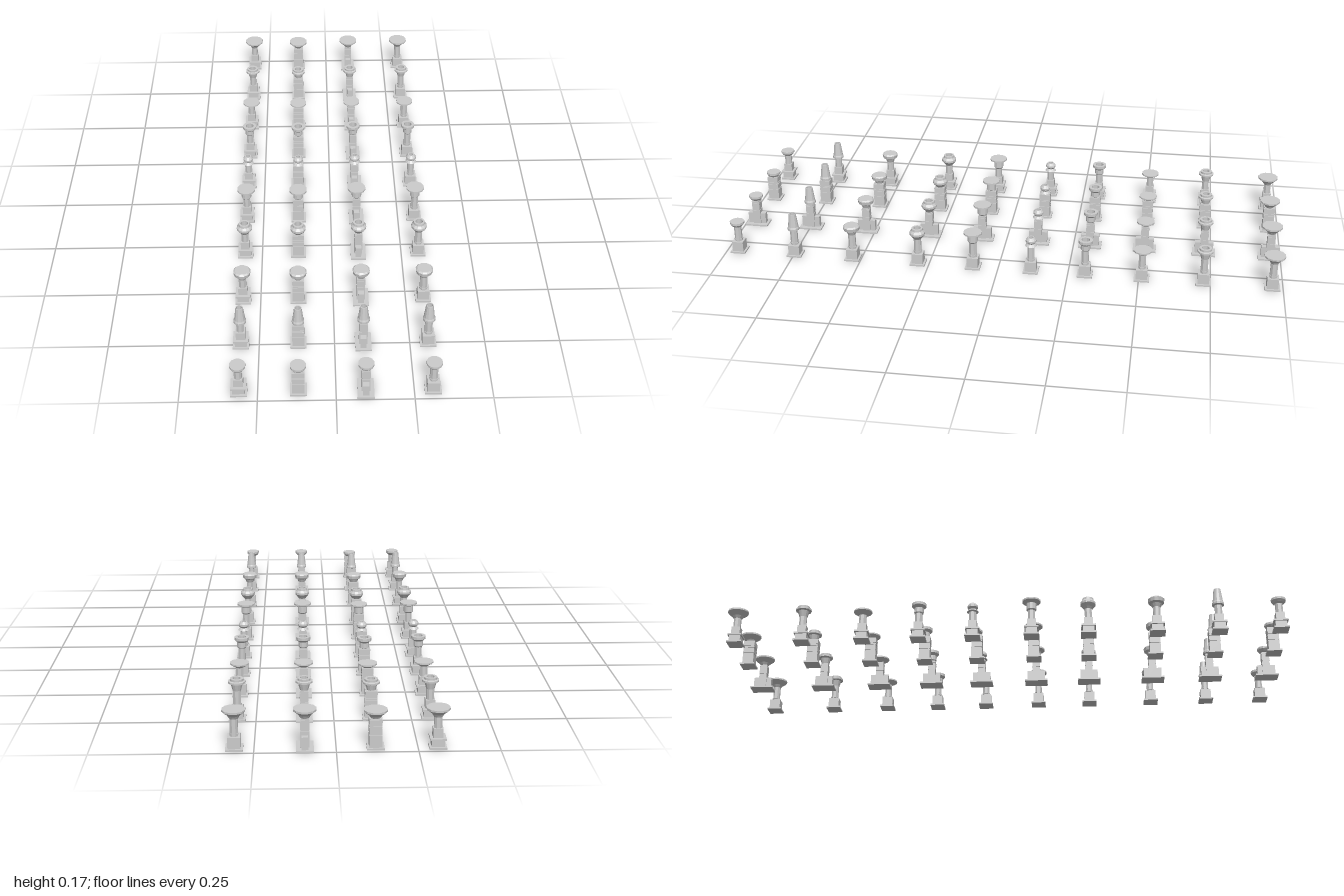
import * as THREE from 'three';

const material = new THREE.MeshStandardMaterial({ color: 0xcccccc, flatShading: true, side: THREE.DoubleSide });

function add(group, name, geometry, y = 0, z = 0) {
  const mesh = new THREE.Mesh(geometry, material);
  mesh.name = name;
  mesh.position.set(0, y, z);
  group.add(mesh);
}

// Box given by half widths and its bottom and top heights
function block(group, name, hx, hz, y0, y1, z = 0) {
  add(group, name, new THREE.BoxGeometry(hx * 2, y1 - y0, hz * 2), (y0 + y1) / 2, z);
}

// Eight-sided or round tapered drum
function drum(group, name, r0, r1, y0, y1, sides = 12) {
  const geometry = new THREE.CylinderGeometry(r1, r0, y1 - y0, sides);
  geometry.rotateY(Math.PI / sides);
  add(group, name, geometry, (y0 + y1) / 2);
}

// Round pedestal with a flanged square foot
function flangedBase(g) {
  block(g, 'footPlate', 0.027, 0.027, 0, 0.006);
  block(g, 'plinth', 0.02, 0.02, 0.006, 0.028);
  block(g, 'plinthFlange', 0.025, 0.025, 0.028, 0.034);
  block(g, 'lowerShaft', 0.0155, 0.0155, 0.034, 0.064);
  drum(g, 'shaft', 0.0135, 0.0135, 0.064, 0.103, 8);
}

// Wide square pedestal of stacked blocks with grooves between
function stackedBase(g) {
  block(g, 'footPlate', 0.027, 0.027, 0, 0.006);
  block(g, 'core', 0.0175, 0.0175, 0.006, 0.098);
  block(g, 'lowerBlock', 0.02, 0.02, 0.006, 0.045);
  block(g, 'middleBlock', 0.02, 0.02, 0.048, 0.067);
  block(g, 'band', 0.02, 0.02, 0.07, 0.074);
  block(g, 'upperBlock', 0.02, 0.02, 0.077, 0.096);
}

// Square pedestal with a buttress at front and back
function buttressedBase(g) {
  block(g, 'footPlate', 0.027, 0.042, 0, 0.006);
  block(g, 'core', 0.0125, 0.0125, 0.006, 0.1);
  block(g, 'lowerBlock', 0.0142, 0.0142, 0.006, 0.06);
  block(g, 'upperBlock', 0.0142, 0.0142, 0.064, 0.09);
  block(g, 'band', 0.0142, 0.0142, 0.092, 0.096);
  for (const s of [-1, 1]) block(g, 'buttress', 0.01, 0.011, 0.006, 0.047, s * 0.022);
}

// Slim round pedestal on a plain square plinth
function plainBase(g) {
  block(g, 'footPlate', 0.027, 0.027, 0, 0.006);
  block(g, 'plinth', 0.02, 0.02, 0.006, 0.043);
  drum(g, 'shaft', 0.0135, 0.0135, 0.043, 0.103, 8);
  drum(g, 'shaftRing', 0.0155, 0.0155, 0.048, 0.053, 8);
}

// Turned crown from its outer outline; a bore makes it a hollow pot
function crown(group, name, outline, bore, lift) {
  const points = [[0.014, 0.1], ...outline].map(([r, y]) => new THREE.Vector2(r, y));
  const top = points[points.length - 1].y;
  if (bore) points.push(new THREE.Vector2(bore, top), new THREE.Vector2(bore, 0.108));
  points.push(new THREE.Vector2(0, bore ? 0.108 : top));
  add(group, name, new THREE.LatheGeometry(points, 12, Math.PI / 12), lift);
}

// Crown styles, each with its row position
const crownStyles = {
  funnel: (g, lift) => crown(g, 'funnelCrown', [[0.02, 0.11], [0.037, 0.124], [0.037, 0.13]], 0, lift),
  ringed: (g, lift) => crown(g, 'ringedCrown', [[0.02, 0.122], [0.028, 0.125], [0.028, 0.131], [0.022, 0.133], [0.022, 0.14]], 0.013, lift),
  disc: (g, lift) => crown(g, 'discCrown', [[0.02, 0.104], [0.033, 0.112], [0.033, 0.117]], 0, lift),
  collar: (g, lift) => crown(g, 'collarCrown', [[0.017, 0.104], [0.017, 0.122], [0.026, 0.13], [0.026, 0.14]], 0.015, lift),
  knob: (g, lift) => crown(g, 'knobCrown', [[0.021, 0.103], [0.013, 0.112], [0.019, 0.119], [0.019, 0.126], [0.012, 0.135]], 0.008, lift),
  flatCap: (g, lift) => crown(g, 'flatCapCrown', [[0.018, 0.105], [0.018, 0.128], [0.033, 0.135], [0.033, 0.141]], 0, lift),
  bulb: (g, lift) => crown(g, 'bulbCrown', [[0.019, 0.107], [0.028, 0.118], [0.028, 0.126], [0.021, 0.134], [0.02, 0.142]], 0.013, lift),
  drum: (g, lift) => crown(g, 'drumCrown', [[0.02, 0.113], [0.028, 0.118], [0.03, 0.131], [0.025, 0.136]], 0, lift),
  tapered: (g, lift) => crown(g, 'taperedCrown', [[0.021, 0.103], [0.021, 0.11], [0.0185, 0.116], [0.0125, 0.165]], 0.0095, lift),
  bowl: (g, lift) => crown(g, 'bowlCrown', [[0.02, 0.104], [0.026, 0.112], [0.026, 0.12]], 0, lift),
};

// Rows from back to front, in the order of the crown styles
const rowZ = [-0.962, -0.725, -0.51, -0.31, -0.118, 0.09, 0.29, 0.53, 0.745, 0.955];

const columns = [
  { x: -0.31, base: flangedBase, lift: 0 },
  { x: -0.12, base: stackedBase, lift: -0.005 },
  { x: 0.095, base: buttressedBase, lift: 0 },
  { x: 0.31, base: plainBase, lift: 0 },
];

export function createModel() {
  const model = new THREE.Group();
  model.name = 'pillarSet';
  // Every base design paired with every crown design
  for (const { x, base, lift } of columns) {
    Object.values(crownStyles).forEach((addCrown, row) => {
      const pillar = new THREE.Group();
      pillar.name = 'pillar';
      base(pillar);
      addCrown(pillar, lift);
      pillar.position.set(x, 0, rowZ[row]);
      model.add(pillar);
    });
  }
  return model;
}
